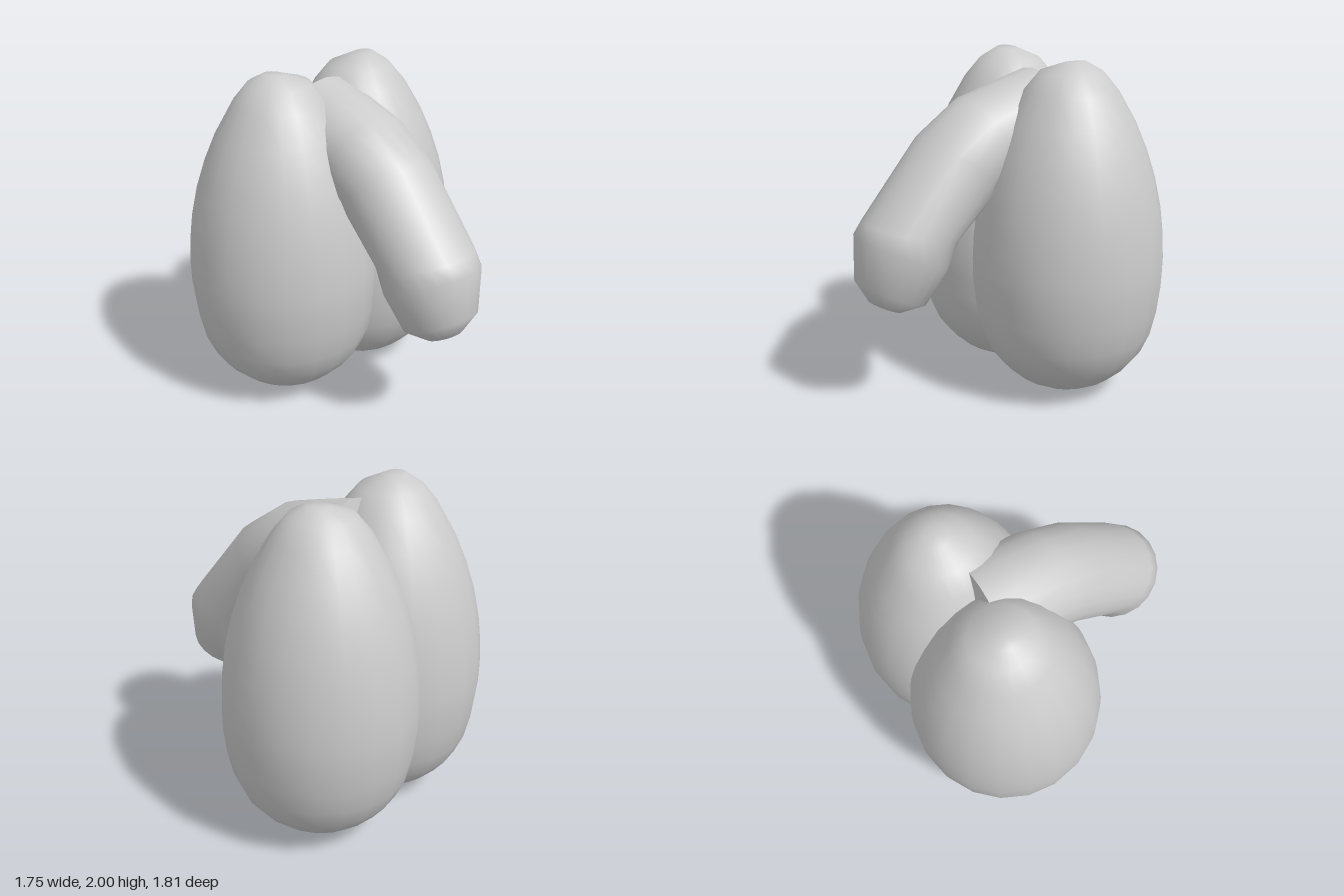
import * as THREE from 'three';

const material = new THREE.MeshStandardMaterial({ color: 0xcccccc });

// Egg-shaped lobe: lathed profile (radius, height), tip leaning slightly outward
function makeLobe(side) {
  const profile = [
    [0, 0.005], [0.08, 0.008], [0.2, 0.04], [0.3, 0.095], [0.395, 0.18], [0.465, 0.27],
    [0.517, 0.39], [0.55, 0.54], [0.568, 0.7], [0.57, 0.82], [0.562, 0.97], [0.54, 1.14],
    [0.5, 1.32], [0.444, 1.49], [0.375, 1.65], [0.275, 1.825], [0.185, 1.935], [0.065, 1.993], [0, 1.993],
  ].map(([r, y]) => new THREE.Vector2(r, y));
  const geometry = new THREE.LatheGeometry(profile, 20);
  const p = geometry.attributes.position;
  for (let i = 0; i < p.count; i++) {
    if (p.getY(i) < 1.97) continue;
    p.setY(i, p.getY(i) + side * p.getX(i) * 0.11);
    p.setX(i, p.getX(i) + side * 0.028);
  }
  const mesh = new THREE.Mesh(geometry, material);
  mesh.position.set(side * 0.303, 0, -0.335);
  mesh.name = side > 0 ? 'leftLobe' : 'rightLobe';
  return mesh;
}

// Bent rounded limb: round sections, each given by its upper and lower point (z, y)
function makeLimb() {
  const sections = [
    [0.74, 0.63, 0.74, 0.63],
    [0.835, 0.69, 0.65, 0.605],
    [0.905, 0.82, 0.51, 0.635],
    [0.89, 1.08, 0.37, 0.83],
    [0.835, 1.147, 0.3, 1.0],
    [0.46, 1.6, 0.02, 1.24],
    [0.19, 1.79, -0.08, 1.28],
    [-0.09, 1.87, -0.2, 1.31],
    [-0.28, 1.92, -0.34, 1.36],
    [-0.28, 1.92, -0.34, 1.36], // repeated rim keeps the end's edge sharp
    [-0.34, 1.64, -0.34, 1.64],
  ];
  const sides = 20;
  const positions = [];
  const indices = [];
  sections.forEach(([tz, ty, bz, by], row) => {
    // Past the rounded tip the limb keeps one constant width
    const radius = Math.hypot(tz - bz, ty - by) / 2;
    const halfWidth = radius > 0.27 ? 0.287 : radius;
    for (let j = 0; j < sides; j++) {
      const a = (j / sides) * Math.PI * 2;
      const c = Math.cos(a) / 2;
      positions.push(halfWidth * Math.sin(a), (ty + by) / 2 + c * (ty - by), (tz + bz) / 2 + c * (tz - bz));
      if (row === 0) continue;
      const k = (j + 1) % sides;
      const lower = (row - 1) * sides;
      const upper = row * sides;
      // The two end rows collapse to a point, so one triangle per side closes them
      if (row > 1) indices.push(lower + j, lower + k, upper + j);
      if (row < sections.length - 1) indices.push(lower + k, upper + k, upper + j);
    }
  });
  const geometry = new THREE.BufferGeometry();
  geometry.setAttribute('position', new THREE.Float32BufferAttribute(positions, 3));
  geometry.setIndex(indices);
  geometry.computeVertexNormals();
  const mesh = new THREE.Mesh(geometry, material);
  mesh.name = 'bentLimb';
  return mesh;
}

export function createModel() {
  const group = new THREE.Group();
  group.name = 'model';
  group.add(makeLobe(1), makeLobe(-1), makeLimb());
  return group;
}
